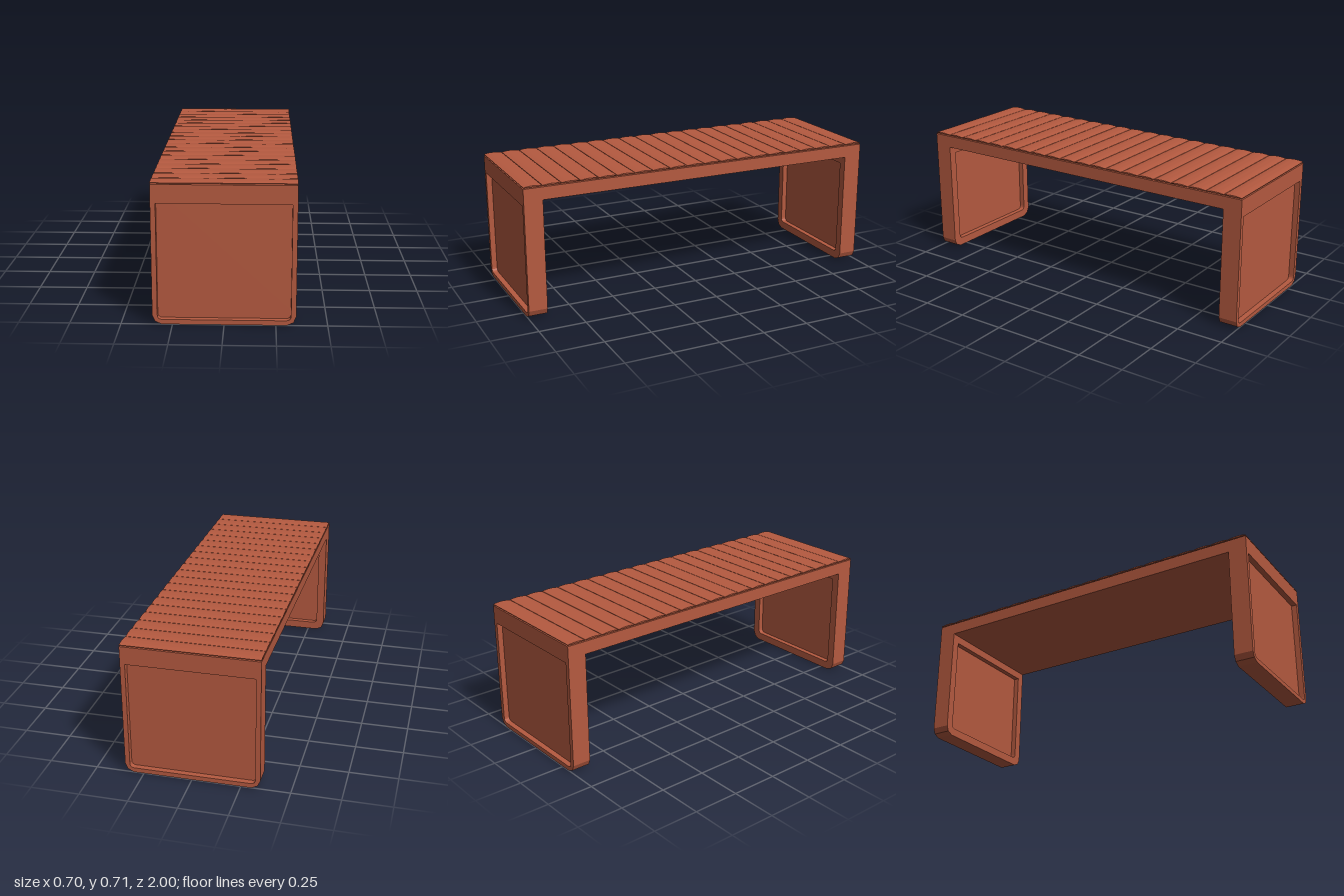
import * as THREE from 'three';
import { toCreasedNormals } from 'three/addons/utils/BufferGeometryUtils.js';

const HALF = 0.348, TOP = 0.697, LEG = 0.1, RECESS = 0.03;

const material = new THREE.MeshStandardMaterial({ color: 0xb55a40 });

function part(name, geometry, parent) {
  const mesh = new THREE.Mesh(geometry, material);
  mesh.name = name;
  parent.add(mesh);
  return mesh;
}

// leg outline: square top, rounded lower corners
function outline() {
  const right = [[0.303, 0], [0.335, 0.015], [HALF, 0.045], [HALF, TOP]];
  const left = right.map(([x, y]) => [-x, y]).reverse();
  return new THREE.Shape([...right, ...left].map(([x, y]) => new THREE.Vector2(x, y)));
}

// recess outline: half width w, from y0 to y1, rounded lower corners
function recess(w, y0, y1, r = 0.024) {
  const path = new THREE.Path();
  path.moveTo(-w, y1);
  path.lineTo(-w, y0 + r);
  path.quadraticCurveTo(-w, y0, -w + r, y0);
  path.lineTo(w - r, y0);
  path.quadraticCurveTo(w, y0, w, y0 + r);
  path.lineTo(w, y1);
  path.closePath();
  return path;
}

function plate(depth, z, hole) {
  const shape = outline();
  if (hole) shape.holes.push(hole);
  const geometry = new THREE.ExtrudeGeometry(shape, { depth, bevelEnabled: false, curveSegments: 4 });
  return geometry.translate(0, 0, z);
}

// panel leg with a shallow recess on both faces; outer face towards +z
function makeLeg(name) {
  const leg = new THREE.Group();
  leg.name = name;
  part('legPanel', plate(LEG - 2 * RECESS, 0.9 + RECESS), leg);
  part('outerRim', plate(RECESS, 1 - RECESS, recess(0.323, 0.024, 0.604)), leg);
  part('innerRim', plate(RECESS, 0.9, recess(0.303, 0.045, 0.586)), leg);
  return leg;
}

// thin slat with a gently crowned top, running across the bench
function slatGeometry() {
  const w = 0.0485, n = 10, points = [];
  for (let i = 0; i <= n; i++) {
    const t = -1 + (2 * i) / n;
    points.push(new THREE.Vector2(t * w, 0.71 - 0.005 * t * t));
  }
  points.push(new THREE.Vector2(w, 0.7025), new THREE.Vector2(-w, 0.7025));
  const geometry = new THREE.ExtrudeGeometry(new THREE.Shape(points), { depth: 2 * HALF, bevelEnabled: false });
  geometry.translate(0, 0, -HALF).rotateY(Math.PI / 2);
  return toCreasedNormals(geometry, 0.5);
}

export function createModel() {
  const bench = new THREE.Group();
  bench.name = 'bench';

  // legs at both ends
  const front = makeLeg('frontLeg');
  const back = makeLeg('backLeg');
  back.rotation.y = Math.PI;
  bench.add(front, back);

  // seat slab between the legs
  const slab = new THREE.BoxGeometry(2 * HALF, TOP - 0.63, 1.8);
  part('seatSlab', slab, bench).position.y = (TOP + 0.63) / 2;

  // slats along the seat
  const slats = new THREE.Group();
  slats.name = 'seatSlats';
  const geometry = slatGeometry();
  for (let i = 0; i < 20; i++) part('slat', geometry, slats).position.z = -0.95 + i * 0.1;
  bench.add(slats);

  return bench;
}
